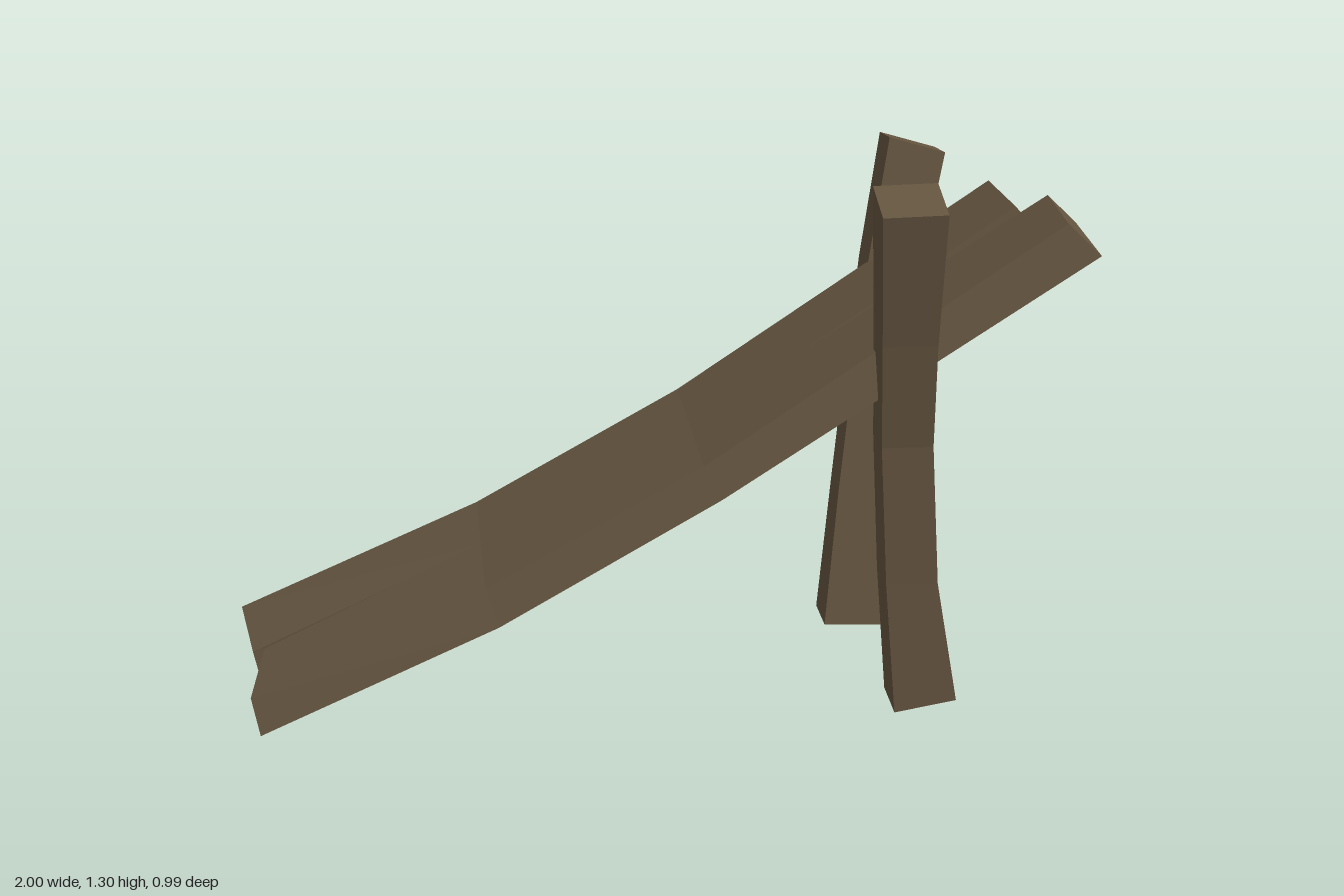
import * as THREE from 'three';

const wood = new THREE.MeshStandardMaterial({ color: 0x655540, flatShading: true });
wood.name = 'weatheredWood';

// Closed beam through a series of four-cornered rings (counterclockwise seen from the far end)
function beam(name, rings) {
  const pos = [];
  const quad = (a, b, c, d) => [a, b, c, a, c, d].forEach((p) => pos.push(...p));
  for (let i = 0; i < rings.length - 1; i++) {
    const r = rings[i], s = rings[i + 1];
    for (let j = 0; j < 4; j++) {
      const k = (j + 1) % 4;
      quad(r[j], r[k], s[k], s[j]);
    }
  }
  quad(...[...rings[0]].reverse());
  quad(...rings[rings.length - 1]);
  const geo = new THREE.BufferGeometry();
  geo.setAttribute('position', new THREE.Float32BufferAttribute(pos, 3));
  geo.computeVertexNormals();
  const mesh = new THREE.Mesh(geo, wood);
  mesh.name = name;
  return mesh;
}

// Plank section: top x,y; bottom x,y; z range of top face; z range of bottom face; x skew across the end
const plank = (name, sections) => beam(name, sections.map(
  ([xt, yt, xb, yb, t0, t1, b0, b1, skew = 0]) => [
    [xb - skew, yb, b1], [xb + skew, yb, b0], [xt + skew, yt, t0], [xt - skew, yt, t1],
  ]));

// Post section: height, x range, z range, rise of y along x and along z
const post = (name, sections) => beam(name, sections.map(
  ([y, x0, x1, z0, z1, dx = 0, dz = 0]) => [
    [x0, y - dx + dz, z1], [x1, y + dx + dz, z1], [x1, y + dx - dz, z0], [x0, y - dx - dz, z0],
  ]));

export function createModel() {
  const group = new THREE.Group();
  group.name = 'woodenRamp';

  // Two sagging planks side by side, splayed apart at both ends
  group.add(plank('frontPlank', [
    [-0.94, 0.13, -0.92, 0.042, 0.025, 0.33, 0.01, 0.345, 0.01],
    [-0.41, 0.37, -0.38, 0.285, -0.005, 0.315, -0.005, 0.335],
    [0.09, 0.65, 0.13, 0.575, -0.02, 0.31, -0.02, 0.33],
    [0.915, 1.197, 0.988, 1.127, 0.02, 0.31, 0, 0.335, 0.008],
  ]));
  group.add(plank('backPlank', [
    [-0.98, 0.105, -0.957, 0.01, -0.33, -0.02, -0.352, -0.01, -0.02],
    [-0.41, 0.367, -0.38, 0.282, -0.32, -0.005, -0.338, -0.005],
    [0.09, 0.647, 0.13, 0.572, -0.318, 0, -0.335, 0],
    [0.858, 1.157, 0.925, 1.082, -0.325, -0.04, -0.352, -0.03, -0.004],
  ]));

  // Two crooked posts leaning outward
  group.add(post('frontPost', [
    [0.05, 0.54, 0.685, 0.175, 0.32, 0.013, -0.002],
    [0.36, 0.51, 0.63, 0.205, 0.337],
    [0.7, 0.487, 0.605, 0.245, 0.367],
    [0.95, 0.475, 0.6, 0.29, 0.415],
    [1.284, 0.455, 0.6, 0.355, 0.497, 0.002, -0.02],
  ]));
  group.add(post('backPost', [
    [0.055, 0.45, 0.595, -0.34, -0.195, -0.003, 0.002],
    [0.4, 0.485, 0.613, -0.355, -0.233],
    [0.7, 0.52, 0.64, -0.385, -0.263],
    [0.95, 0.557, 0.69, -0.437, -0.31],
    [1.235, 0.612, 0.75, -0.497, -0.352, -0.02, 0.008],
  ]));

  return group;
}
